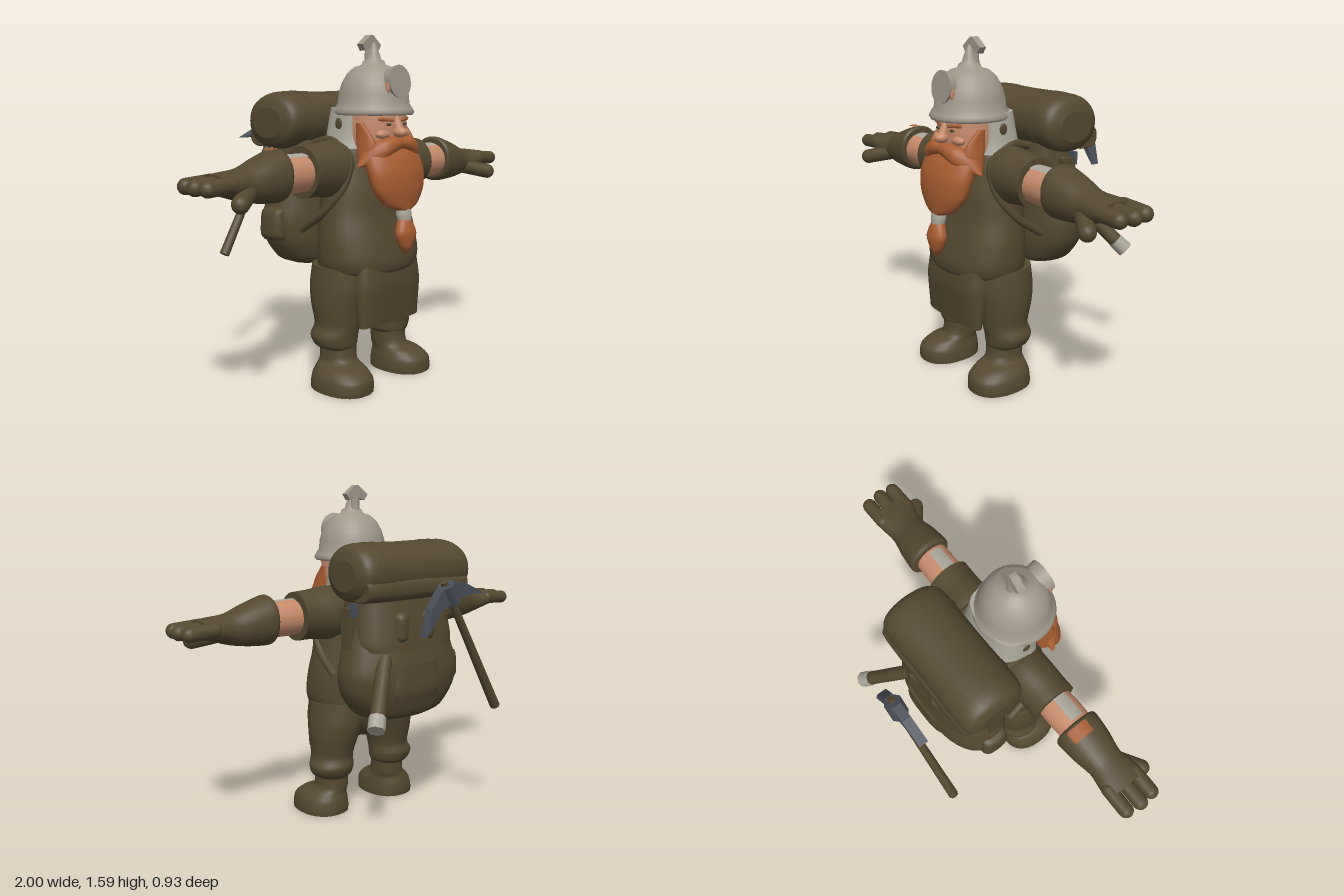
import * as THREE from 'three';

const mat = (name, color) => new THREE.MeshStandardMaterial({ name, color });
const vectors = points => points.map(p => new THREE.Vector3(...p));

// Smooth body through sections [t, a, b, ra, rb].
// axis 'y': t = y, a/b = centre x/z.  axis 'x': t = x, a/b = centre y/z.
function loft(sections, axis = 'y', p = 2, n = 28) {
  const centre = new THREE.CatmullRomCurve3(sections.map(s => new THREE.Vector3(s[0], s[1], s[2])), false, 'catmullrom', 0.4);
  const radius = new THREE.CatmullRomCurve3(sections.map(s => new THREE.Vector3(s[3], s[4], 0)), false, 'catmullrom', 0.4);
  const steps = (sections.length - 1) * 4, pos = [], idx = [];
  const put = (t, a, b) => axis === 'y' ? pos.push(a, t, b) : pos.push(t, a, -b);
  const power = v => Math.sign(v) * Math.pow(Math.abs(v), 2 / p);
  const ring = i => {
    const c = centre.getPoint(i / steps), r = radius.getPoint(i / steps);
    const cz = axis === 'y' ? c.z : -c.z;
    for (let j = 0; j < n; j++) {
      const a = j / n * Math.PI * 2;
      put(c.x, c.y + Math.max(r.x, 0.002) * power(Math.cos(a)), cz + Math.max(r.y, 0.002) * power(Math.sin(a)));
    }
    return [c.x, c.y, cz];
  };
  for (let i = 0; i <= steps; i++) ring(i);
  for (let i = 0; i < steps; i++) for (let j = 0; j < n; j++) {
    const a = i * n + j, b = i * n + (j + 1) % n;
    idx.push(a, a + n, b, b, a + n, b + n);
  }
  // flat end caps with their own vertices
  for (const end of [0, steps]) {
    const start = pos.length / 3;
    put(...ring(end));
    for (let j = 0; j < n; j++) {
      const a = start + j, b = start + (j + 1) % n;
      end ? idx.push(start + n, b, a) : idx.push(start + n, a, b);
    }
  }
  const g = new THREE.BufferGeometry();
  g.setAttribute('position', new THREE.Float32BufferAttribute(pos, 3));
  g.setIndex(idx);
  g.computeVertexNormals();
  return g;
}

// Copy of an indexed geometry reflected across x = 0
function mirrored(geometry) {
  const g = geometry.clone().scale(-1, 1, 1), ix = g.index;
  for (let i = 0; i < ix.count; i += 3) {
    const k = ix.getX(i);
    ix.setX(i, ix.getX(i + 1));
    ix.setX(i + 1, k);
  }
  return g;
}

// Lay a y-aligned geometry, made for the given length, between two points
function between(a, b, make) {
  const [A, B] = vectors([a, b]), d = B.clone().sub(A), mid = A.add(B).multiplyScalar(0.5);
  const q = new THREE.Quaternion().setFromUnitVectors(new THREE.Vector3(0, 1, 0), d.clone().normalize());
  return make(d.length()).applyQuaternion(q).translate(mid.x, mid.y, mid.z);
}
const rod = (a, b, r1, r2 = r1, sides = 12) => between(a, b, l => new THREE.CylinderGeometry(r2, r1, l, sides));
const capsule = (a, b, r) => between(a, b, l => new THREE.CapsuleGeometry(r, l, 6, 14));
const ball = (x, y, z, rx, ry, rz) => new THREE.SphereGeometry(1, 20, 14).scale(rx, ry, rz).translate(x, y, z);
const box = (x, y, z, w, h, d) => new THREE.BoxGeometry(w, h, d).translate(x, y, z);
const plate = (points, z, depth) => new THREE.ExtrudeGeometry(new THREE.Shape(points.map(p => new THREE.Vector2(...p))),
  { depth, bevelEnabled: false }).translate(0, 0, z);
// Curved patch lying on an arm; angle 0 is straight up, positive towards the back
const armPatch = (x, y, z, rOuter, rInner, width, from, to) => new THREE.CylinderGeometry(rOuter, rInner, width, 10, 1, true,
  Math.PI / 2 + from, to - from).rotateZ(Math.PI / 2).translate(x, y, z);

export function createModel() {
  const model = new THREE.Group();
  model.name = 'bearded miner';
  const cloth = mat('brown cloth and leather', 0x54482f);
  const skin = mat('skin', 0xc58b6b);
  const hair = mat('ginger hair', 0xa65c32);
  const helmetMetal = mat('helmet metal', 0xa0978a);
  const mail = mat('pale mail', 0xaaa699);
  const steel = mat('dark steel', 0x4a4f58);

  const add = (name, geometry, material) => {
    const m = new THREE.Mesh(geometry, material);
    m.name = name;
    model.add(m);
  };
  const pair = (name, geometry, material) => {
    add(name + 'Left', geometry, material);
    add(name + 'Right', mirrored(geometry), material);
  };

  // Torso and apron
  add('tunic', loft([[0.5, 0, 0.19, 0.225, 0.155], [0.54, 0, 0.21, 0.255, 0.185], [0.6, 0, 0.215, 0.27, 0.187],
    [0.7, 0, 0.205, 0.268, 0.175], [0.8, 0, 0.195, 0.252, 0.16], [0.92, 0, 0.19, 0.24, 0.15],
    [1.03, 0, 0.175, 0.235, 0.13], [1.1, 0, 0.17, 0.19, 0.11], [1.14, 0, 0.17, 0.12, 0.08]], 'y', 2.2, 36), cloth);
  add('apron', loft([[0.295, 0, 0.343, 0.2, 0.03], [0.4, 0, 0.335, 0.207, 0.05], [0.48, 0, 0.325, 0.21, 0.068],
    [0.58, 0, 0.31, 0.2, 0.075]], 'y', 3), cloth);

  // Seat, legs and boots
  add('trouserSeat', loft([[0.37, 0, 0.18, 0.05, 0.08], [0.42, 0, 0.18, 0.15, 0.125], [0.49, 0, 0.185, 0.235, 0.158],
    [0.56, 0, 0.19, 0.258, 0.168]]), cloth);
  pair('trouserLeg', loft([[0.18, 0.185, 0.185, 0.075, 0.085], [0.2, 0.187, 0.18, 0.1, 0.1], [0.24, 0.19, 0.175, 0.11, 0.11],
    [0.29, 0.18, 0.185, 0.1, 0.11], [0.38, 0.172, 0.18, 0.115, 0.13], [0.46, 0.155, 0.18, 0.13, 0.15],
    [0.56, 0.135, 0.185, 0.135, 0.158]]), cloth);
  pair('boot', loft([[0, 0.21, 0.243, 0.12, 0.15], [0.025, 0.21, 0.243, 0.12, 0.152], [0.065, 0.208, 0.242, 0.113, 0.147],
    [0.1, 0.2, 0.225, 0.095, 0.12], [0.13, 0.182, 0.193, 0.076, 0.088], [0.23, 0.18, 0.188, 0.074, 0.086]], 'y', 2.3), cloth);

  // Arms, with pale wear marks on top
  pair('sleeve', loft([[0.12, 1.0, 0.165, 0.12, 0.11], [0.22, 1.0, 0.165, 0.128, 0.116], [0.32, 1.0, 0.17, 0.116, 0.11],
    [0.395, 0.998, 0.17, 0.113, 0.112]], 'x'), cloth);
  pair('forearm', loft([[0.36, 0.995, 0.175, 0.08, 0.08], [0.46, 0.995, 0.178, 0.083, 0.084], [0.57, 0.995, 0.18, 0.08, 0.08]], 'x'), skin);
  pair('forearmMark', armPatch(0.455, 0.995, 0.178, 0.0865, 0.0865, 0.13, -0.5, 0.25), mail);

  // Gloves: cuff, palm, three fingers and a thumb
  pair('glove', loft([[0.535, 1.0, 0.175, 0.1, 0.1], [0.555, 0.998, 0.175, 0.113, 0.108], [0.65, 0.985, 0.178, 0.095, 0.1],
    [0.74, 0.975, 0.18, 0.07, 0.085], [0.82, 0.982, 0.182, 0.052, 0.1], [0.88, 0.987, 0.182, 0.04, 0.1]], 'x', 2.2), cloth);
  for (const [z, tip] of [[0.11, 0.955], [0.182, 0.966], [0.25, 0.958]])
    pair('finger', capsule([0.84, 0.99, z], [tip, 0.983, z], 0.034), cloth);
  pair('thumb', capsule([0.74, 0.95, 0.23], [0.85, 0.92, 0.308], 0.037), cloth);
  add('cuffMark', armPatch(-0.583, 0.995, 0.176, 0.114, 0.118, 0.06, -0.2, 0.7), hair);

  // Head and face
  add('head', loft([[1.04, 0, 0.25, 0.1, 0.1], [1.1, 0, 0.25, 0.14, 0.125], [1.18, 0, 0.25, 0.146, 0.133], [1.28, 0, 0.25, 0.14, 0.128]], 'y', 2.3), skin);
  add('nose', ball(0, 1.163, 0.395, 0.03, 0.024, 0.036), skin);
  add('noseBridge', rod([0, 1.17, 0.392], [0, 1.235, 0.368], 0.022, 0.015), skin);
  pair('cheek', ball(0.07, 1.155, 0.355, 0.042, 0.022, 0.026), skin);
  pair('eye', ball(0.054, 1.198, 0.376, 0.018, 0.007, 0.006), cloth);
  pair('eyebrow', capsule([0.032, 1.216, 0.376], [0.092, 1.222, 0.358], 0.009), hair);

  // Beard, sideburns, moustache and tied tail
  add('beard', loft([[0.82, 0, 0.415, 0.045, 0.035], [0.845, 0, 0.405, 0.105, 0.048], [0.91, 0, 0.39, 0.158, 0.07],
    [0.99, 0, 0.375, 0.175, 0.08], [1.06, 0, 0.345, 0.172, 0.085], [1.115, 0, 0.31, 0.15, 0.085]], 'y', 2, 32), hair);
  pair('sideburn', loft([[1.03, 0.135, 0.32, 0.04, 0.04], [1.1, 0.134, 0.32, 0.03, 0.052], [1.15, 0.139, 0.306, 0.016, 0.044],
    [1.205, 0.142, 0.283, 0.01, 0.018]], 'y', 2.4, 16), hair);
  pair('moustache', loft([[-0.005, 1.115, 0.4, 0.022, 0.025], [0.05, 1.11, 0.393, 0.037, 0.036], [0.11, 1.085, 0.375, 0.046, 0.042],
    [0.155, 1.058, 0.345, 0.04, 0.035], [0.2, 1.02, 0.325, 0.004, 0.008]], 'x', 2, 16), hair);
  add('beardTie', loft([[0.775, 0, 0.425, 0.034, 0.03], [0.8, 0, 0.422, 0.038, 0.033], [0.83, 0, 0.42, 0.034, 0.03]]), mail);
  add('beardTail', loft([[0.62, 0, 0.435, 0.004, 0.004], [0.655, 0, 0.435, 0.036, 0.027], [0.71, 0, 0.435, 0.061, 0.037],
    [0.75, 0, 0.43, 0.05, 0.034], [0.785, 0, 0.425, 0.03, 0.026]]), hair);

  // Neck guard with ear openings
  add('neckGuard', loft([[1.09, 0, 0.165, 0.188, 0.125], [1.15, 0, 0.165, 0.174, 0.115], [1.27, 0, 0.175, 0.16, 0.105]], 'y', 2.7), mail);
  pair('earOpening', ball(0.167, 1.2, 0.18, 0.007, 0.026, 0.02), cloth);

  // Helmet with brim, stepped spike, lamp and crest plate
  const profile = [[0.1, 1.25], [0.178, 1.238], [0.186, 1.25], [0.178, 1.266], [0.163, 1.288], [0.159, 1.33], [0.146, 1.375],
    [0.122, 1.42], [0.088, 1.45], [0.055, 1.46], [0.05, 1.475], [0.034, 1.485], [0.028, 1.505], [0.011, 1.55], [0, 1.562]];
  add('helmet', new THREE.LatheGeometry(profile.map(p => new THREE.Vector2(...p)), 36).translate(0, 0, 0.24), helmetMetal);
  add('helmetLamp', rod([0, 1.37, 0.27], [0, 1.385, 0.395], 0.058, 0.074, 24), helmetMetal);
  pair('lampGlint', ball(0.067, 1.362, 0.376, 0.007, 0.028, 0.016), skin);
  add('crestStem', rod([0, 1.45, 0.215], [0, 1.55, 0.212], 0.025, 0.018), helmetMetal);
  add('crestPlate', plate([[-0.064, 1.55], [-0.045, 1.522], [0, 1.535], [0.045, 1.522], [0.064, 1.55], [0.008, 1.593], [-0.008, 1.593]],
    0.196, 0.034), helmetMetal);

  // Backpack body, lid and pockets
  add('backpack', loft([[0.53, 0, -0.1, 0.17, 0.1], [0.56, 0, -0.1, 0.24, 0.14], [0.65, 0, -0.105, 0.308, 0.165],
    [0.75, 0, -0.108, 0.325, 0.17], [0.86, 0, -0.098, 0.298, 0.16], [0.99, 0, -0.08, 0.268, 0.142], [1.12, 0, -0.08, 0.25, 0.13]], 'y', 2.35, 36), cloth);
  add('backpackFlap', loft([[0.86, 0, -0.12, 0.265, 0.145], [0.9, 0, -0.11, 0.275, 0.15], [1.02, 0, -0.09, 0.262, 0.15],
    [1.12, 0, -0.08, 0.25, 0.14]], 'y', 2.8), cloth);
  add('backpackLid', loft([[-0.3, 1.14, -0.18, 0.04, 0.06], [-0.26, 1.14, -0.19, 0.055, 0.08], [0.26, 1.14, -0.19, 0.055, 0.08],
    [0.3, 1.14, -0.18, 0.04, 0.06]], 'x', 2.6), cloth);
  add('backPocket', loft([[0.62, 0.02, -0.24, 0.12, 0.03], [0.68, 0.02, -0.245, 0.14, 0.04], [0.8, 0.02, -0.245, 0.13, 0.035]], 'y', 3), cloth);
  add('sidePouch', loft([[0.66, -0.29, -0.1, 0.045, 0.06], [0.69, -0.3, -0.1, 0.05, 0.07], [0.79, -0.295, -0.1, 0.05, 0.065],
    [0.81, -0.28, -0.1, 0.035, 0.05]], 'y', 3), cloth);
  pair('sideStrap', box(0.28, 0.965, -0.09, 0.045, 0.18, 0.06), cloth);
  pair('sideBuckle', box(0.285, 1.05, -0.13, 0.03, 0.06, 0.025), steel);
  for (const x of [-0.06, 0.1])
    add('backPouch', capsule([x, 0.93, -0.235], [x, 1.0, -0.235], 0.036), cloth);
  pair('shoulderStrap', new THREE.TubeGeometry(new THREE.CatmullRomCurve3(vectors([[0.16, 1.1, 0], [0.165, 1.125, 0.15],
    [0.175, 1.05, 0.25], [0.215, 0.93, 0.255], [0.248, 0.82, 0.18], [0.265, 0.72, 0.04]])), 28, 0.02, 8), cloth);

  // Bedroll and its straps
  add('bedroll', loft([[-0.335, 1.2, -0.11, 0.07, 0.09], [-0.31, 1.205, -0.108, 0.115, 0.145], [-0.24, 1.21, -0.106, 0.132, 0.16],
    [0, 1.21, -0.105, 0.13, 0.157], [0.24, 1.21, -0.106, 0.132, 0.16], [0.3, 1.205, -0.108, 0.115, 0.14], [0.325, 1.2, -0.11, 0.07, 0.09]], 'x', 2.1, 32), cloth);
  pair('bedrollStrap', loft([[0.155, 1.21, -0.105, 0.134, 0.162], [0.195, 1.21, -0.105, 0.134, 0.162]], 'x', 2.1, 32), cloth);

  // Tool handle with metal end
  add('toolHandle', rod([0.18, 0.83, -0.22], [0.355, 0.605, -0.375], 0.034), cloth);
  add('toolEnd', rod([0.343, 0.621, -0.364], [0.378, 0.575, -0.397], 0.039, 0.04, 8), mail);

  // Pickaxe
  add('pickaxeHandle', rod([-0.37, 0.555, -0.39], [0.015, 1.18, -0.42], 0.024, 0.016, 8), cloth);
  add('pickaxeHead', plate([[-0.22, 1.115], [-0.13, 1.12], [-0.04, 1.095], [0.04, 1.06], [0.13, 0.95], [0.1, 1.07], [0.04, 1.15],
    [-0.02, 1.18], [-0.1, 1.17]], -0.442, 0.045), steel);
  add('pickaxeSocket', rod([-0.045, 1.085, -0.417], [0.005, 1.165, -0.42], 0.042, 0.042, 6), steel);

  return model;
}
